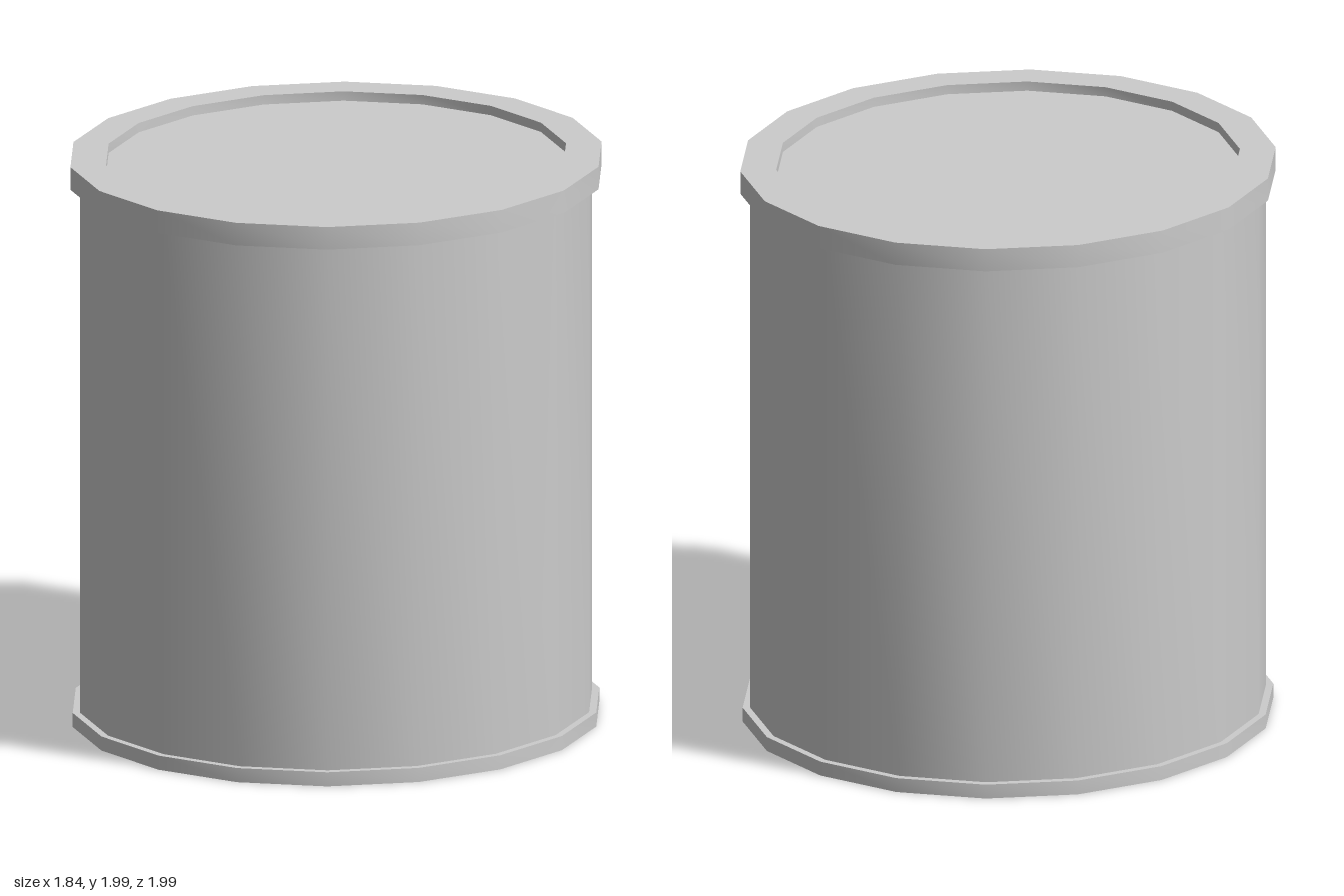
import * as THREE from 'three';
import { toCreasedNormals } from 'three/addons/utils/BufferGeometryUtils.js';

const SIDES = 18;
const DEPTH_RATIO = 1.103; // the can is slightly oval, longer along z

export function createModel() {
  const group = new THREE.Group();
  group.name = 'ovalCan';
  const material = new THREE.MeshStandardMaterial({ color: 0xcccccc });

  // Turns a [radius, height] profile into an oval part with a vertex on the x axis
  function addOvalPart(name, profile) {
    const points = profile.map(([r, y]) => new THREE.Vector2(r, y));
    const lathe = new THREE.LatheGeometry(points, SIDES, Math.PI / 2);
    lathe.scale(1, 1, DEPTH_RATIO);
    const mesh = new THREE.Mesh(toCreasedNormals(lathe, THREE.MathUtils.degToRad(40)), material);
    mesh.name = name;
    group.add(mesh);
  }

  // Straight wall between the base rim and the lid
  addOvalPart('body', [[0.885, 0.05], [0.885, 1.905]]);

  // Thin rim around a recessed bottom
  addOvalPart('baseRim', [
    [0, 0.03], [0.885, 0.03], [0.885, 0], [0.91, 0], [0.91, 0.05], [0.88, 0.05],
  ]);

  // Overhanging lid with a wide flat edge and a sunken panel
  addOvalPart('lid', [
    [0.88, 1.905], [0.918, 1.905], [0.918, 1.985],
    [0.795, 1.985], [0.795, 1.952], [0, 1.952],
  ]);

  return group;
}
